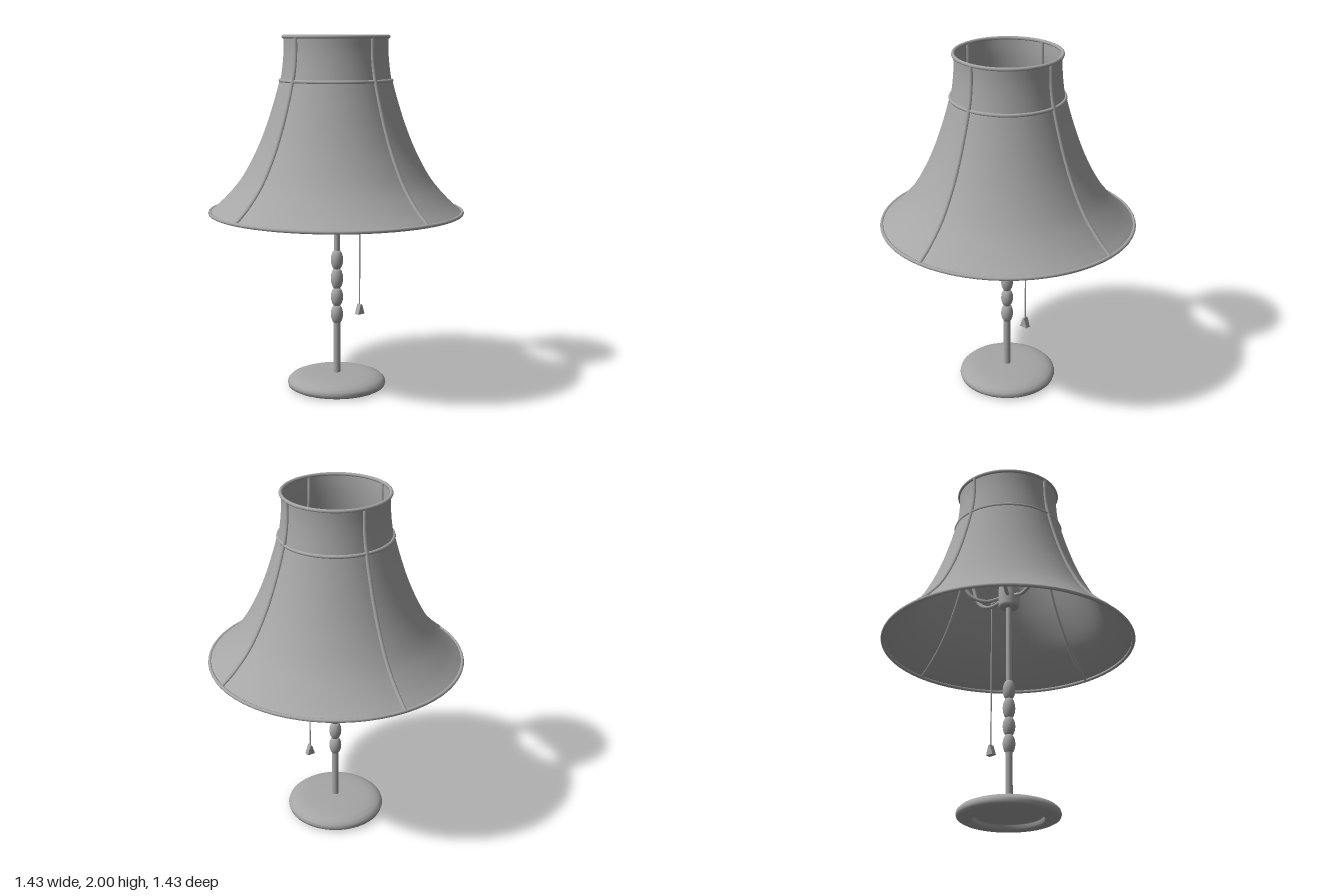
import * as THREE from 'three';

export function createModel() {
  const model = new THREE.Group();
  model.name = 'tableLamp';
  const grey = new THREE.MeshStandardMaterial({ color: 0xa6a6a6 });
  grey.name = 'grey';
  const greyFabric = new THREE.MeshStandardMaterial({ color: 0xa6a6a6, side: THREE.DoubleSide });
  greyFabric.name = 'greyFabric';

  const add = (name, geometry, x = 0, y = 0, z = 0, parent = model, material = grey) => {
    const mesh = new THREE.Mesh(geometry, material);
    mesh.name = name;
    mesh.position.set(x, y, z);
    parent.add(mesh);
    return mesh;
  };
  const v2 = (p) => p.map(([r, y]) => new THREE.Vector2(r, y));
  const v3 = (p) => p.map(([x, y, z]) => new THREE.Vector3(x, y, z));
  const lathe = (p, segments = 48) => new THREE.LatheGeometry(v2(p), segments);
  const tube = (p, radius, steps = 24) =>
    new THREE.TubeGeometry(new THREE.CatmullRomCurve3(v3(p)), steps, radius, 8);
  const poleZ = 0.008;

  // Rounded base with a recessed underside
  add('base', lathe([
    [0, 0.03], [0.185, 0.03], [0.19, 0.026], [0.19, 0.01], [0.2, 0.003], [0.23, 0.003],
    [0.262, 0.006], [0.276, 0.014], [0.281, 0.03], [0.276, 0.046], [0.26, 0.061],
    [0.23, 0.073], [0.19, 0.08], [0.13, 0.084], [0, 0.086],
  ]), 0, 0, 0.005);
  add('baseFoot', lathe([[0.19, 0.012], [0.195, 0], [0.235, 0], [0.24, 0.006]]), 0, 0, 0.005);

  // Stem with four turned beads
  add('lowerStem', new THREE.CylinderGeometry(0.02, 0.02, 0.32, 20), 0, 0.235, poleZ);
  add('upperStem', new THREE.CylinderGeometry(0.016, 0.016, 0.5, 20), 0, 1.02, poleZ);
  for (const [bottom, top] of [[0.375, 0.477], [0.477, 0.578], [0.578, 0.69], [0.69, 0.795]]) {
    const h = top - bottom;
    const profile = [[0, 0], [0.019, 0], [0.027, 0.12], [0.033, 0.3], [0.035, 0.5],
      [0.033, 0.7], [0.027, 0.88], [0.019, 1], [0, 1]].map(([r, t]) => [r, t * h]);
    add('stemBead', lathe(profile, 24), 0, bottom, poleZ);
  }

  // Socket hub
  add('socket', lathe([
    [0, 1.25], [0.045, 1.25], [0.055, 1.255], [0.06, 1.268], [0.06, 1.372],
    [0.057, 1.384], [0.05, 1.388], [0.046, 1.384], [0.046, 1.375], [0, 1.375],
  ], 32), 0, 0, poleZ);

  // Curved arms carrying the shade
  for (const [x, z] of [[-0.28, -0.04], [-0.17, -0.235], [0.235, -0.17], [0.288, -0.01]]) {
    const at = (t, y) => [x * t, y, z * t + poleZ * (1 - t)];
    add('shadeArm', tube([at(0.15, 1.32), at(0.45, 1.3), at(0.75, 1.34), at(0.94, 1.48), at(1.04, 1.75)], 0.011));
  }

  // Shade profile: flared skirt below, short collar above
  const skirt = [[0.705, 1.025], [0.63, 1.09], [0.535, 1.2], [0.455, 1.34], [0.395, 1.48], [0.345, 1.63], [0.312, 1.75]];
  const collar = [[0.305, 1.76], [0.294, 1.84], [0.288, 1.92], [0.289, 1.99]];
  const smooth = (p, n) => new THREE.SplineCurve(v2(p)).getPoints(n).map((p) => [p.x, p.y]);
  const shade = new THREE.Group();
  shade.name = 'shade';
  model.add(shade);
  add('shadeSkirt', lathe(smooth(skirt, 24), 64), 0, 0, 0, shade, greyFabric);
  add('shadeCollar', lathe(smooth(collar, 10), 64), 0, 0, 0, shade, greyFabric);

  // Wire rings and four ribs
  for (const [name, r, y] of [['bottomRing', 0.706, 1.023], ['middleRing', 0.308, 1.752], ['topRing', 0.29, 1.99]]) {
    add(name, new THREE.TorusGeometry(r, 0.01, 8, 64).rotateX(Math.PI / 2), 0, y, 0, shade);
  }
  for (let i = 0; i < 4; i++) {
    const rib = add('shadeRib', tube([...skirt, ...collar.slice(1)].map(([r, y]) => [r, y, 0]), 0.011, 48), 0, 0, 0, shade);
    rib.rotation.y = i * Math.PI / 2;
  }

  // Pull switch: short rod, cord and wedge-shaped weight
  add('pullRod', new THREE.CylinderGeometry(0.006, 0.006, 0.12, 8).rotateZ(Math.PI / 2), 0.1, 1.34, 0.03);
  add('pullCord', new THREE.CylinderGeometry(0.004, 0.004, 0.89, 8), 0.156, 0.895, 0.03);
  const wedge = new THREE.Shape(v2([[-0.024, 0], [0.024, 0], [0.005, 0.058], [-0.005, 0.058]]));
  add('pullWeight', new THREE.ExtrudeGeometry(wedge, { depth: 0.03, bevelEnabled: false }), 0.156, 0.405, 0.017);

  return model;
}
